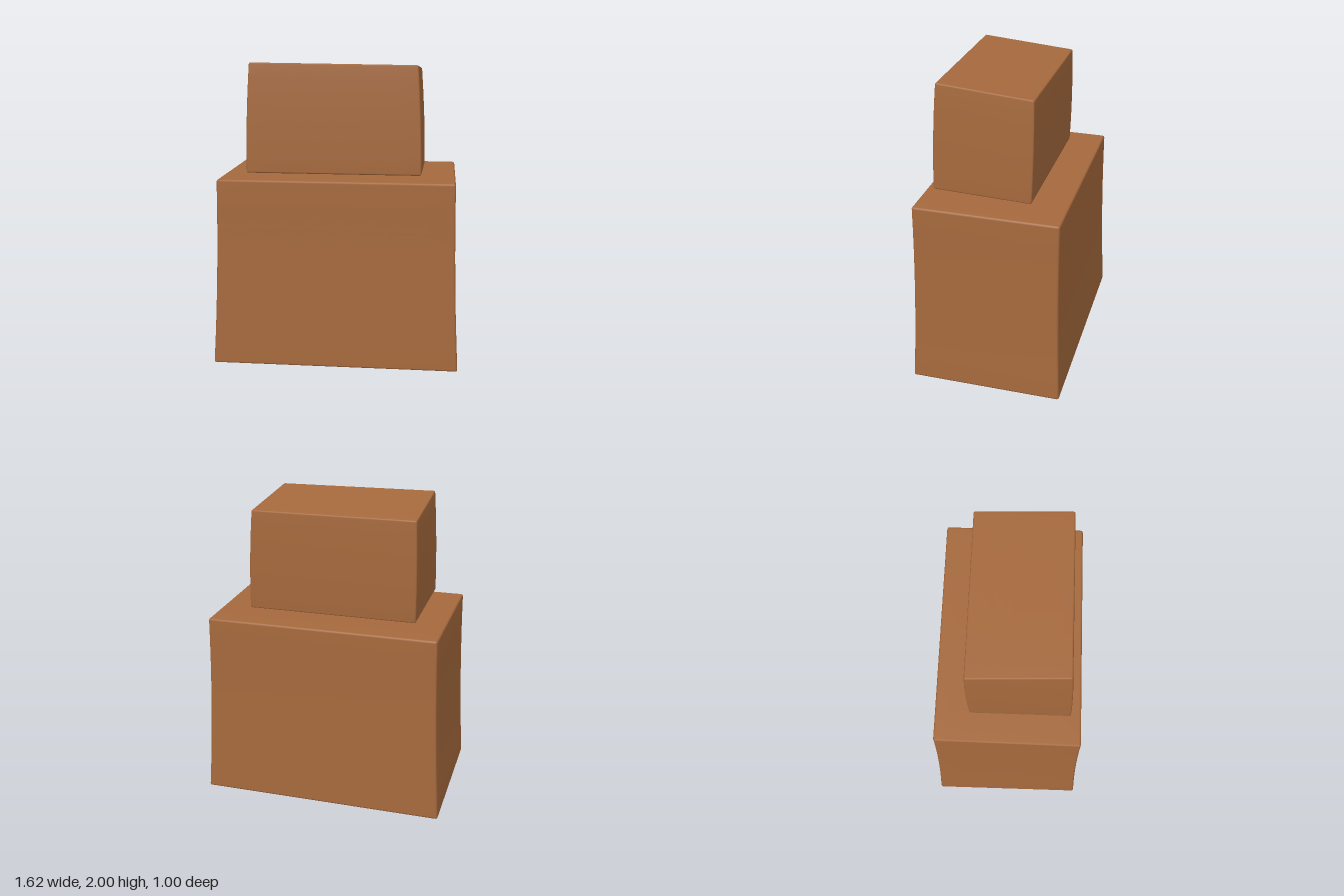
import * as THREE from 'three';
import { mergeVertices } from 'three/addons/utils/BufferGeometryUtils.js';

const SEGMENTS = 10;

// Box with softly chamfered edges, stretched between eight corners.
// Corner order: back right, back left, front right, front left; bottom four, then top four
// (the box's own right is -x). bow bends the side walls in (-) or out (+) at mid height.
function blockGeometry(corners, size, bevel, bow) {
  const c = corners.map((p) => new THREE.Vector3(...p));
  const half = new THREE.Vector3(...size).multiplyScalar(0.5);
  const inner = half.clone().subScalar(bevel);
  let geometry = new THREE.BoxGeometry(2, 2, 2, SEGMENTS, SEGMENTS, SEGMENTS);
  geometry.deleteAttribute('normal');
  geometry.deleteAttribute('uv');
  geometry = mergeVertices(geometry);

  const pos = geometry.attributes.position;
  const p = new THREE.Vector3();
  const core = new THREE.Vector3();
  const low = new THREE.Vector3();
  const high = new THREE.Vector3();
  const edge = new THREE.Vector3();
  // the outermost grid lines move to the start of the chamfer
  const spread = (t, h, i) => (Math.abs(t) > 0.99 ? Math.sign(t) * h : (t * i * SEGMENTS) / (SEGMENTS - 2));

  const layer = (k, u, w, out) => {
    out.lerpVectors(c[k], c[k + 1], u);
    edge.lerpVectors(c[k + 2], c[k + 3], u);
    return out.lerp(edge, w);
  };

  for (let i = 0; i < pos.count; i++) {
    p.fromBufferAttribute(pos, i);
    p.set(spread(p.x, half.x, inner.x), spread(p.y, half.y, inner.y), spread(p.z, half.z, inner.z));
    core.copy(p).clamp(inner.clone().negate(), inner);
    p.sub(core).setLength(bevel).add(core).divide(half);

    const u = (p.x + 1) / 2;
    const v = (p.y + 1) / 2;
    const w = (p.z + 1) / 2;
    layer(0, u, w, low);
    layer(4, u, w, high);
    const bend = bow * (1 - p.y * p.y);
    low.lerp(high, v);
    pos.setXYZ(i, low.x + p.x * bend, low.y, low.z + p.z * bend);
  }
  geometry.computeVertexNormals();
  return geometry;
}

export function createModel() {
  const group = new THREE.Group();
  const clay = new THREE.MeshStandardMaterial({ color: 0xa5693d });
  clay.name = 'clay brown';

  const add = (name, ...shape) => {
    const mesh = new THREE.Mesh(blockGeometry(...shape), clay);
    mesh.name = name;
    group.add(mesh);
  };

  // large block, flaring out towards the floor
  add('lowerBlock', [
    [-0.815, 0, -0.505], [0.81, 0, -0.5], [-0.815, 0.012, 0.5], [0.805, 0.012, 0.5],
    [-0.762, 1.243, -0.475], [0.765, 1.243, -0.472], [-0.772, 1.256, 0.472], [0.765, 1.256, 0.472],
  ], [1.6, 1.25, 0.97], 0.014, -0.009);

  // smaller block resting on top, tipped slightly back
  add('upperBlock', [
    [-0.578, 1.265, -0.25], [0.555, 1.265, -0.245], [-0.586, 1.292, 0.402], [0.545, 1.292, 0.402],
    [-0.567, 1.938, -0.256], [0.524, 1.935, -0.25], [-0.563, 2, 0.372], [0.515, 1.99, 0.375],
  ], [1.1, 0.7, 0.64], 0.01, 0.006);

  return group;
}
